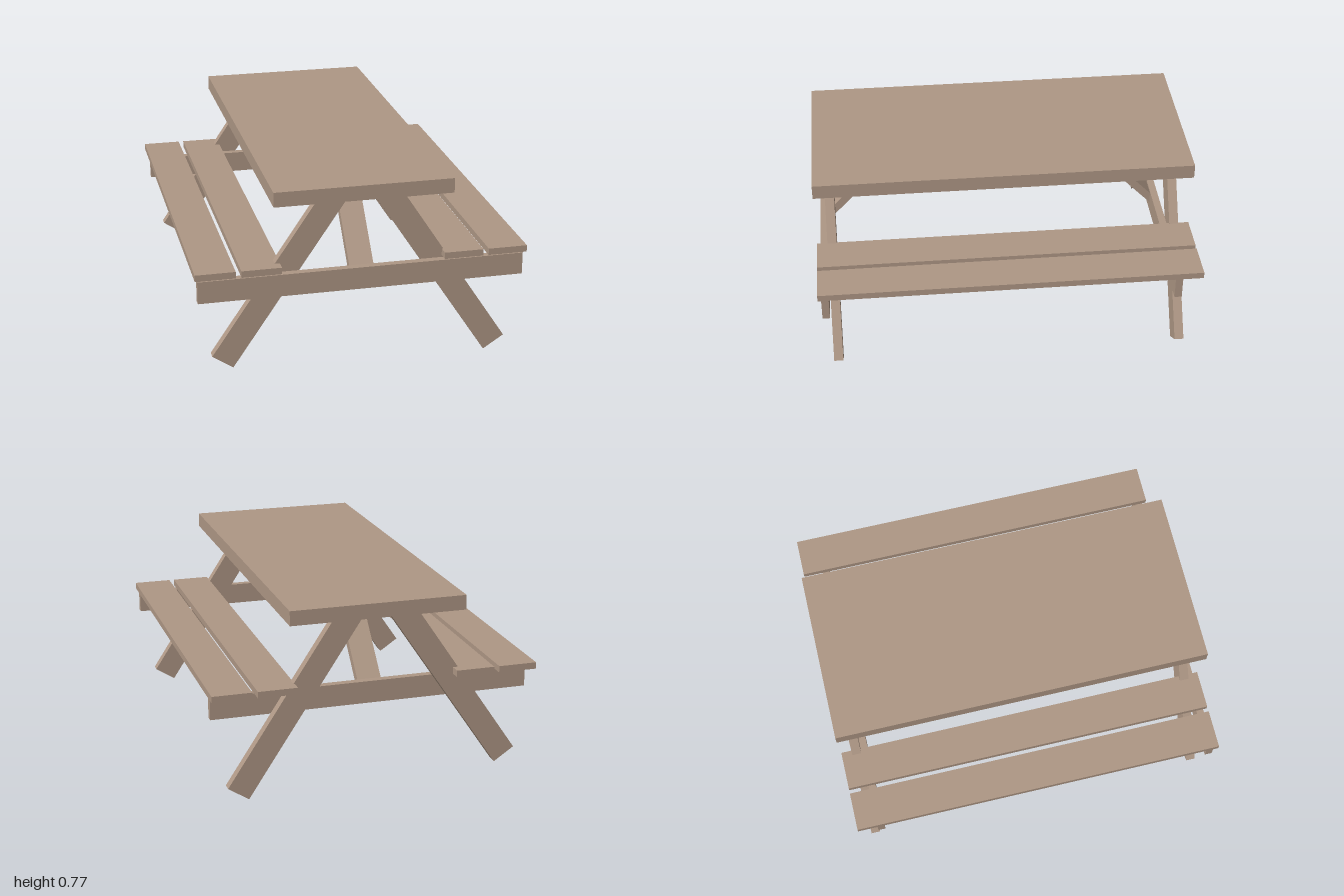
import * as THREE from 'three';

export function createModel() {
  const model = new THREE.Group();
  model.name = 'picnicTable';
  const wood = new THREE.MeshStandardMaterial({ color: 0xae9785 });
  wood.name = 'weathered wood';

  // The table stands turned on its base: local x is across, local z is along
  const table = new THREE.Group();
  table.name = 'table';
  table.rotation.y = THREE.MathUtils.degToRad(28.9);
  model.add(table);

  const LENGTH = 1.553;

  function add(name, geometry, x = 0, y = 0, z = 0) {
    const mesh = new THREE.Mesh(geometry, wood);
    mesh.name = name;
    mesh.position.set(x, y, z);
    table.add(mesh);
    return mesh;
  }

  // Board given by its lower and upper limits on each axis
  function board(name, x0, x1, y0, y1, z0, z1) {
    return add(name, new THREE.BoxGeometry(x1 - x0, y1 - y0, z1 - z0),
      (x0 + x1) / 2, (y0 + y1) / 2, (z0 + z1) / 2);
  }

  // Slanted leg between two centre points, with square-cut ends
  function leg(name, x0, y0, x1, y1, z) {
    const dx = x1 - x0, dy = y1 - y0;
    const mesh = add(name, new THREE.BoxGeometry(0.1, Math.hypot(dx, dy), 0.038),
      (x0 + x1) / 2, (y0 + y1) / 2, z);
    mesh.rotation.z = -Math.atan2(dx, dy);
  }

  // Table top
  board('tableTop', -0.358, 0.358, 0.715, 0.775, -LENGTH / 2, LENGTH / 2);

  // Two planks for each bench
  for (const [side, s] of [['left', 1], ['right', -1]]) {
    for (const [place, c] of [['Outer', 0.5875], ['Inner', 0.4065]]) {
      add(`${side}${place}SeatPlank`, new THREE.BoxGeometry(0.159, 0.027, LENGTH), s * c, 0.4505, 0);
    }
  }

  // Each end: a leg pair, a crossbeam on its front side and a diagonal brace
  const ends = [
    { name: 'front', legZ: 0.714, beamZ: 0.733, braceZ: 0.733, inward: -1 },
    { name: 'back', legZ: -0.714, beamZ: -0.695, braceZ: -0.665, inward: 1 },
  ];
  for (const { name, legZ, beamZ, braceZ, inward } of ends) {
    leg(`${name}RightLeg`, -0.56, 0.062, -0.1, 0.74, legZ);
    leg(`${name}LeftLeg`, 0.558, 0.029, 0.092, 0.74, legZ);
    board(`${name}Crossbeam`, -0.656, 0.656, 0.337, 0.428, beamZ, beamZ + 0.03);

    // Brace profile: distance inward from the beam against height
    const profile = [[0, 0.372], [0.326, 0.716], [0.281, 0.716], [0, 0.42]]
      .map(([d, y]) => new THREE.Vector2(-(braceZ + inward * d), y));
    const geometry = new THREE.ExtrudeGeometry(new THREE.Shape(profile),
      { depth: 0.098, bevelEnabled: false });
    geometry.translate(0, 0, -0.049);
    geometry.rotateY(Math.PI / 2);
    add(`${name}Brace`, geometry);
  }

  return model;
}
